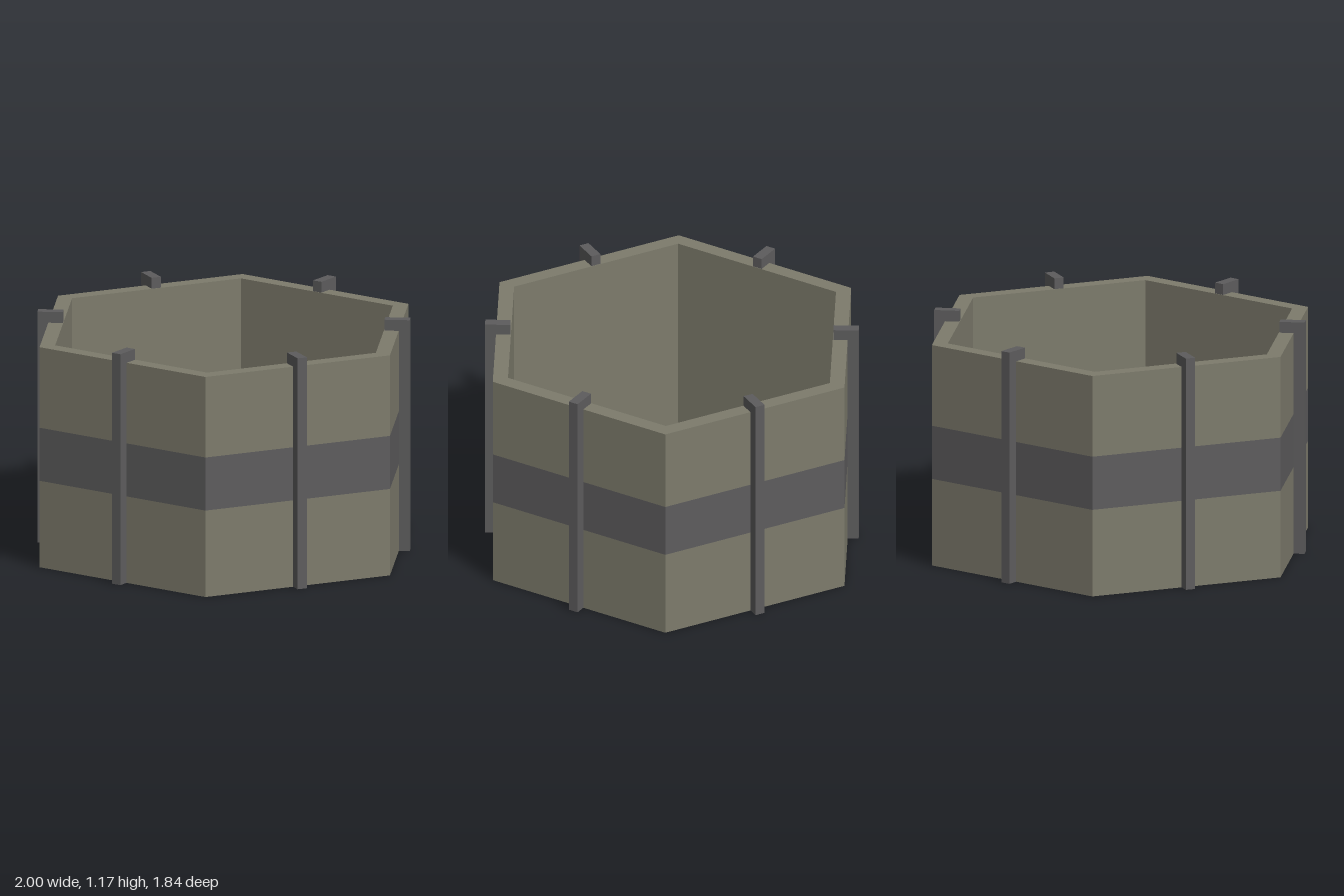
import * as THREE from 'three';

export function createModel() {
  const group = new THREE.Group();
  const material = (name, color, side = THREE.FrontSide) =>
    new THREE.MeshStandardMaterial({ name, color, side, flatShading: true });
  const stone = material('stone', 0x7d7b6c, THREE.DoubleSide);
  const metal = material('metal', 0x5d5c5d);
  const soil = material('soil', 0x46321c);
  const yellow = material('yellow', 0xe6e600);

  const add = (name, geometry, mat, parent = group) => {
    const mesh = new THREE.Mesh(geometry, mat);
    mesh.name = name;
    parent.add(mesh);
    return mesh;
  };
  // Six-sided revolve with corners on the x axis
  const hexLathe = (points) => new THREE.LatheGeometry(
    points.map(([r, y]) => new THREE.Vector2(r, y)), 6, Math.PI / 2);

  // Outer wall in three courses; the top one folds over the rim to the inside
  add('lowerWall', hexLathe([[1, 0], [1, 0.44]]), stone);
  add('middleBand', hexLathe([[1, 0.44], [1, 0.71]]), metal);
  add('upperWallAndInside', hexLathe([[1, 0.71], [1, 1.12], [0.915, 1.12], [0.915, 0.08]]), stone);

  // Raised floor inside and recessed underside
  add('floorMound', hexLathe([[0.915, 0.08], [0.5, 0.18], [0, 0.18]]), stone);
  add('underside', hexLathe([[0, 0.05], [0.999, 0.05]]), soil);

  // Ribs on the middle of each face, hooked over the rim
  for (let i = 0; i < 6; i++) {
    const rib = new THREE.Group();
    rib.name = 'rib';
    rib.rotation.y = i * Math.PI / 3;
    add('ribPost', new THREE.BoxGeometry(0.05, 1.175, 0.054), metal, rib).position.set(0, 0.5875, 0.893);
    add('ribHook', new THREE.BoxGeometry(0.05, 0.055, 0.071), metal, rib).position.set(0, 1.1475, 0.8305);
    group.add(rib);
  }

  // Small chips poking out of the underside
  const chips = [[0.35, -0.52], [0.54, 0.02], [-0.13, -0.35], [0.28, 0.27],
    [0.02, -0.02], [-0.39, -0.02], [0.26, 0.59], [-0.32, 0.32]];
  chips.forEach(([x, z], i) => {
    const chip = add('chip', new THREE.OctahedronGeometry(0.035), yellow);
    chip.position.set(x, 0.055, z);
    chip.rotation.set(i * 0.9, i * 1.7, i * 0.6);
  });

  return group;
}
